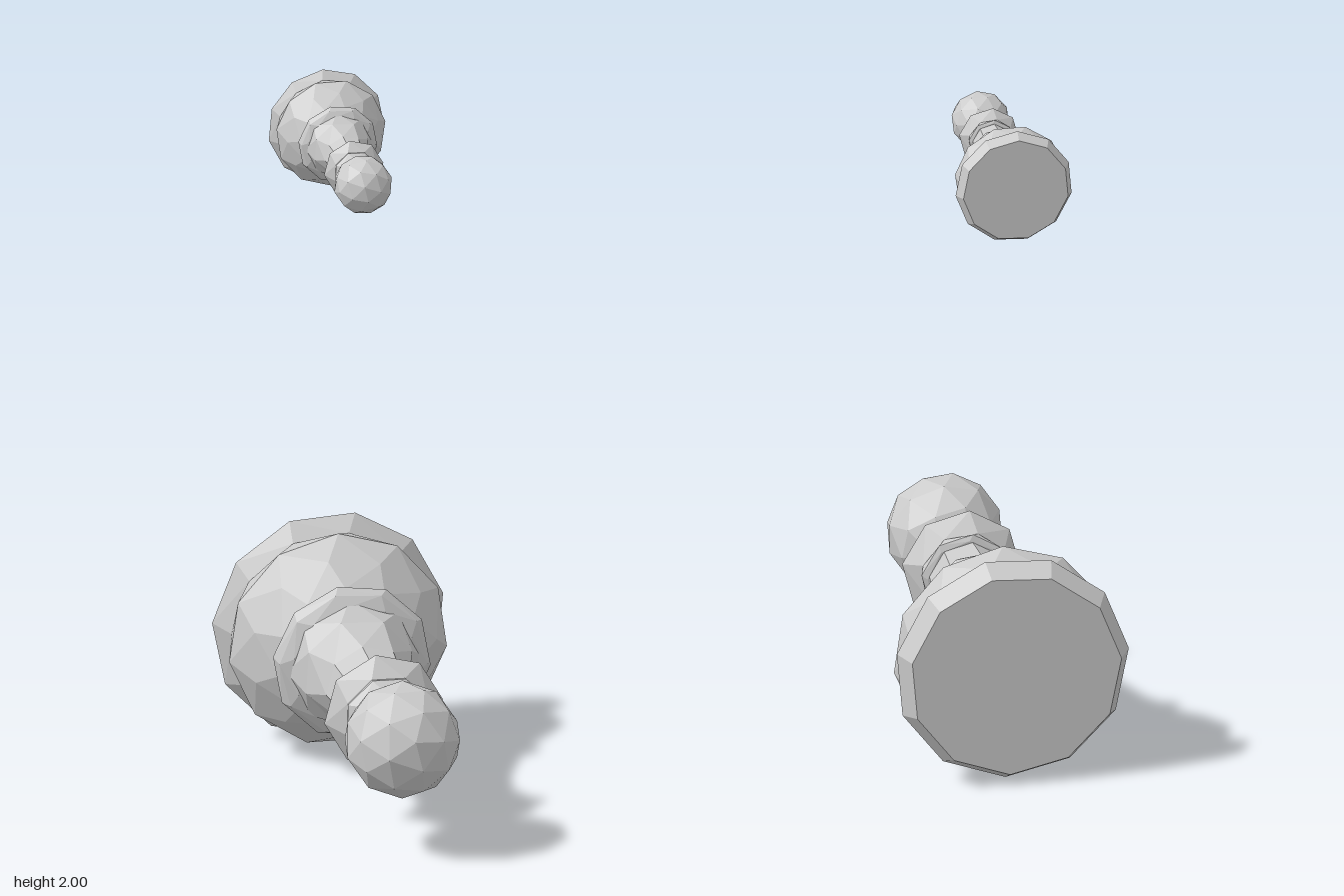
import * as THREE from 'three';

const material = new THREE.MeshStandardMaterial({ color: 0xcccccc, flatShading: true });

// Faceted loft along z: rings are [z, radius, twist in steps]; both ends are capped.
function loft(name, sides, start, rings) {
  const step = (Math.PI * 2) / sides;
  const positions = [];
  const index = [];
  for (const [z, r, twist] of rings) {
    for (let i = 0; i < sides; i++) {
      const a = start + (i + twist) * step;
      positions.push(r * Math.cos(a), r * Math.sin(a), z);
    }
  }
  for (let k = 0; k < rings.length - 1; k++) {
    const twistUp = rings[k + 1][2] >= rings[k][2];
    for (let i = 0; i < sides; i++) {
      const j = (i + 1) % sides;
      const a = k * sides + i, b = k * sides + j;
      const c = a + sides, d = b + sides;
      // the diagonal follows the twist so every facet stays convex
      if (twistUp) index.push(a, b, c, b, d, c);
      else index.push(a, b, d, a, d, c);
    }
  }
  const last = (rings.length - 1) * sides;
  for (let i = 1; i < sides - 1; i++) {
    index.push(0, i + 1, i, last, last + i, last + i + 1);
  }
  const geometry = new THREE.BufferGeometry();
  geometry.setAttribute('position', new THREE.Float32BufferAttribute(positions, 3));
  geometry.setIndex(index);
  geometry.computeVertexNormals();
  const mesh = new THREE.Mesh(geometry, material);
  mesh.name = name;
  return mesh;
}

// One pawn lying down: base at the back, head towards +z.
function createPawn(name) {
  const pawn = new THREE.Group();
  pawn.name = name;
  const start = -1.515;

  pawn.add(loft('base', 11, start, [
    [-0.597, 0.305, 0],
    [-0.535, 0.338, 0],
    [-0.49, 0.29, 0.1],
    [-0.41, 0.318, 0.4],
    [-0.33, 0.268, 0.7],
    [-0.26, 0.208, 0.5],
  ]));

  pawn.add(loft('baseRing', 10, start, [
    [-0.265, 0.205, 0],
    [-0.23, 0.23, 0.2],
    [-0.205, 0.215, 0.3],
    [-0.185, 0.18, 0.1],
  ]));

  pawn.add(loft('stem', 8, start, [
    [-0.21, 0.195, 0],
    [-0.135, 0.162, 0.35],
    [-0.02, 0.122, 0.1],
    [0.115, 0.11, 0.1],
  ]));

  pawn.add(loft('collar', 8, start, [
    [0.1, 0.115, 0],
    [0.108, 0.132, 0.1],
    [0.132, 0.127, 0.3],
    [0.185, 0.173, 0.1],
    [0.235, 0.125, 0.4],
    [0.25, 0.128, 0.4],
    [0.28, 0.1, 0.2],
  ]));

  // Low-poly ball
  const head = new THREE.Mesh(new THREE.IcosahedronGeometry(0.167, 1), material);
  head.name = 'head';
  head.position.set(0, 0.005, 0.43);
  head.rotation.set(0.25, 0.15, 0.2);
  pawn.add(head);
  return pawn;
}

export function createModel() {
  const model = new THREE.Group();
  model.name = 'pawns';

  const large = createPawn('largePawn');
  large.position.y = 0.338;

  // Half-size copy above, with its base in the same plane
  const small = createPawn('smallPawn');
  small.scale.setScalar(0.5);
  small.rotation.z = Math.PI;
  small.position.set(0, 1.831, -0.2985);

  model.add(large, small);
  return model;
}
